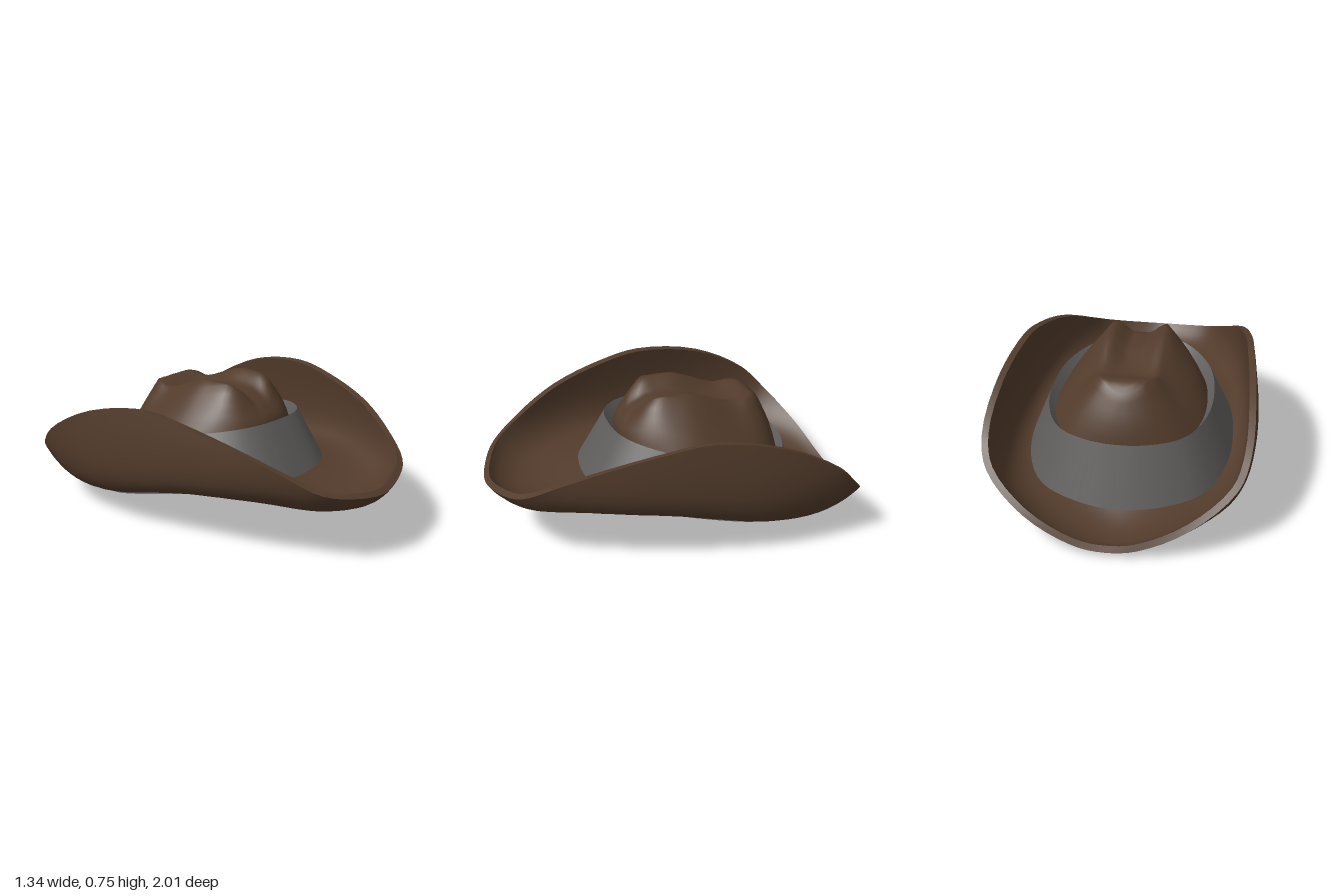
import * as THREE from 'three';
import { mergeGeometries } from 'three/addons/utils/BufferGeometryUtils.js';

const N = 96;           // samples around the hat
const CENTRE = -0.235;  // z towards which the band and crown taper

const felt = new THREE.MeshStandardMaterial({ color: 0x523b2b, side: THREE.DoubleSide });
felt.name = 'brown felt';
const ribbon = new THREE.MeshStandardMaterial({ color: 0x5f5d5c, side: THREE.DoubleSide });
ribbon.name = 'grey ribbon';

// Half outlines [x, y, z] run from the front centre round the left to the back centre.
const RIM = [[0, .37, .975], [.16, .385, .94], [.305, .42, .865], [.405, .5, .7], [.495, .59, .48],
  [.555, .66, .2], [.582, .688, -.03], [.622, .615, -.4], [.63, .455, -.7], [.585, .335, -.815],
  [.39, .185, -.935], [.15, .08, -.985], [0, .06, -.99]];
const BEND = [[0, .185, .86], [.12, .2, .85], [.26, .23, .8], [.41, .265, .66], [.54, .28, .45],
  [.615, .285, .2], [.66, .255, -.06], [.68, .185, -.38], [.615, .13, -.64], [.51, .1, -.75],
  [.32, .06, -.84], [.11, .01, -.88], [0, -.008, -.88]];
const SEAT = [[0, .318, .48], [.1, .32, .475], [.2, .322, .45], [.31, .322, .38], [.415, .314, .26],
  [.49, .29, .12], [.53, .25, -.06], [.53, .188, -.3], [.47, .145, -.49], [.385, .122, -.6],
  [.25, .108, -.67], [.1, .1, -.705], [0, .1, -.71]];

// Mirrors a half outline and samples it as a smooth closed loop.
function loop(half) {
  const mirrored = half.slice(1, -1).reverse().map(([x, y, z]) => [-x, y, z]);
  const curve = new THREE.CatmullRomCurve3([...half, ...mirrored].map(p => new THREE.Vector3(...p)), true);
  return Array.from({ length: N }, (_, j) => curve.getPoint(j / N));
}

// Skins a list of closed rings with smooth normals.
function loft(rings) {
  const position = [], index = [];
  rings.forEach(ring => ring.forEach(p => position.push(p.x, p.y, p.z)));
  for (let i = 0; i < rings.length - 1; i++) {
    for (let j = 0; j < N; j++) {
      const k = (j + 1) % N;
      const a = i * N + j, b = i * N + k, c = a + N, d = b + N;
      index.push(a, c, b, b, c, d);
    }
  }
  const geometry = new THREE.BufferGeometry();
  geometry.setAttribute('position', new THREE.Float32BufferAttribute(position, 3));
  geometry.setIndex(index);
  geometry.computeVertexNormals();
  return geometry;
}

const mix = (r, s, t) => r.map((p, j) => p.clone().lerp(s[j], t));
const step = THREE.MathUtils.smoothstep;

// Scales a ring about the crown axis; height maps each moved point to its y.
function scaled(ring, s, height = p => p.y) {
  return ring.map(p => {
    const q = new THREE.Vector3(p.x * s, p.y, CENTRE + (p.z - CENTRE) * s);
    q.y = height(q);
    return q;
  });
}

// Curled brim: a curved upper face, an offset lower face and the edges between them.
function brimGeometry(seat) {
  const rim = loop(RIM), bend = loop(BEND), inner = scaled(seat, 0.95);
  const upper = [];
  for (let i = 0; i <= 12; i++) {
    const t = i / 12;
    upper.push(mix(mix(inner, bend, t), mix(bend, rim, t), t));
  }
  const top = loft(upper);
  const normal = top.attributes.normal;
  const lower = upper.map((ring, i) => ring.map((p, j) =>
    new THREE.Vector3().fromBufferAttribute(normal, i * N + j).multiplyScalar(-0.034).add(p)));
  return mergeGeometries([
    top,
    loft([upper[12], lower[12]]),
    loft([...lower].reverse()),
    loft([lower[0], upper[0]])
  ]);
}

const bandTop = p => 0.515 + 0.19 * p.z;
const foldHeight = p => bandTop(p) - 0.05;   // where the band tucks in against the crown
const bandBottom = p => p.y - 0.034;

// Flared band: outer wall, lower edge, inner wall and the fold down to the crown.
function bandGeometry(seat) {
  const corners = [
    scaled(seat, 0.795, bandTop), scaled(seat, 1.02, bandBottom),
    scaled(seat, 0.945, bandBottom), scaled(seat, 0.73, foldHeight)
  ];
  return mergeGeometries(corners.map((ring, i) => loft([ring, corners[(i + 1) % 4]])));
}

// Felt lining, set forward so that it shows inside the back and sides but not the front.
function liningGeometry(seat) {
  const bottom = scaled(seat, 0.938, bandBottom), fold = scaled(seat, 0.723, foldHeight);
  const rings = [0.46, 0.1].map(t => mix(bottom, fold, t));
  rings.forEach(ring => ring.forEach(p => { p.z += 0.015; }));
  return loft(rings);
}

// Height of the crown top: two ridges beside a crease, rounded off at the back.
function crownHeight(p) {
  const x = Math.abs(p.x);
  return 0.645 + 0.103 * step(p.z, -0.36, -0.02)
    - 0.055 * step(p.z, 0.1, 0.23)
    + 0.018 * (1 - step(p.z, -0.42, -0.3))
    - 0.07 * (1 - step(p.z, -0.54, -0.43))
    - 0.058 * (1 - step(x, 0.03, 0.14)) * step(p.z, -0.42, -0.1)
    - 0.04 * step(x, 0.14, 0.21);
}

// Crown: creased top and a sloping wall that runs down to the fold of the band.
function crownGeometry(seat) {
  const shoulder = seat.map(p => {
    const a = Math.atan2(p.x, p.z + 0.12);
    const q = new THREE.Vector3(0.2 * Math.sin(a), 0, -0.14 + 0.355 * Math.cos(a));
    q.y = crownHeight(q);
    return q;
  });
  const rings = [0, 0.12, 0.25, 0.38, 0.5, 0.6, 0.7, 0.8, 0.9, 1].map(s => scaled(shoulder, s, crownHeight));
  const base = scaled(seat, 0.732, foldHeight);
  for (const t of [0.15, 0.35, 0.55, 0.78, 1]) {
    rings.push(scaled(mix(shoulder, base, t), 1 + 0.045 * Math.sin(Math.PI * t)));
  }
  return loft(rings);
}

export function createModel() {
  const hat = new THREE.Group();
  hat.name = 'wideBrimHat';
  const seat = loop(SEAT);
  const add = (name, geometry, material) => {
    const mesh = new THREE.Mesh(geometry, material);
    mesh.name = name;
    hat.add(mesh);
  };
  add('brim', brimGeometry(seat), felt);
  add('hatBand', bandGeometry(seat), ribbon);
  add('lining', liningGeometry(seat), felt);
  add('crown', crownGeometry(seat), felt);

  // Rest the hat on the ground and centre it.
  const box = new THREE.Box3().setFromObject(hat);
  const middle = box.getCenter(new THREE.Vector3());
  hat.children.forEach(mesh => mesh.geometry.translate(-middle.x, -box.min.y, -middle.z));
  return hat;
}
